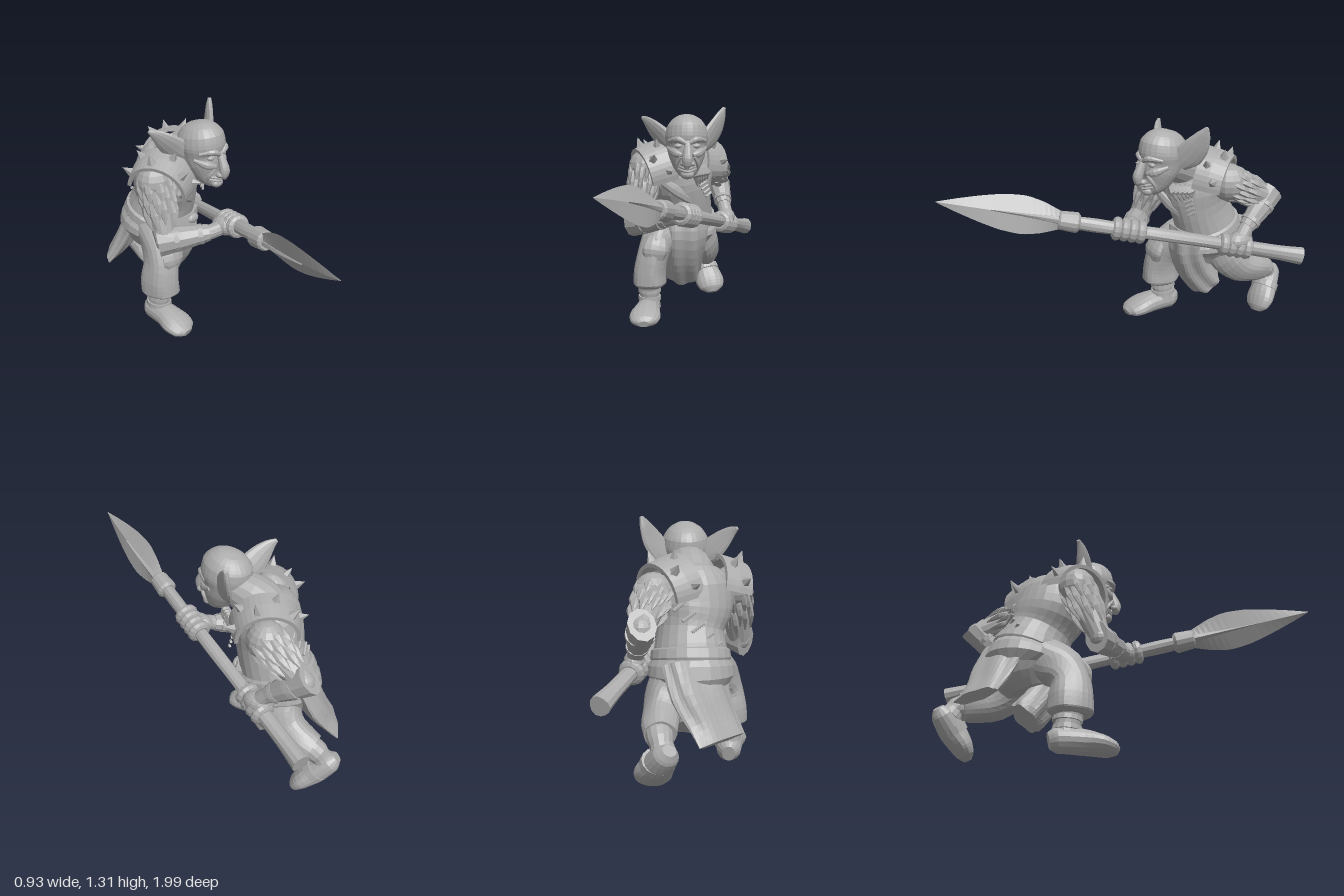
import * as THREE from 'three';

const stone = new THREE.MeshStandardMaterial({ color: 0xacacac, flatShading: true, side: THREE.DoubleSide });
stone.name = 'stoneGrey';
const V = (a) => new THREE.Vector3(...a);

function mesh(name, geo, parent) {
  const m = new THREE.Mesh(geo, stone);
  m.name = name;
  parent.add(m);
  return m;
}

// Skin over elliptical rings [x, y, z, halfWidth, halfDepth]; side is the width direction, sub the smoothing steps
function loft(parent, name, rings, { side = [1, 0, 0], n = 14, ripple = 0, waves = 5, sub = 3 } = {}) {
  const path = new THREE.CatmullRomCurve3(rings.map((r) => V(r.slice(0, 3))));
  const size = new THREE.CatmullRomCurve3(rings.map((r) => V([r[3], r[4] ?? r[3], 0])));
  const steps = (rings.length - 1) * sub, pos = [], idx = [];
  const c = path.getPoints(steps), s = size.getPoints(steps);
  c.forEach((p0, i) => {
    const t = c[Math.min(i + 1, steps)].clone().sub(c[Math.max(i - 1, 0)]).normalize();
    const u = V(side).addScaledVector(t, -V(side).dot(t)).normalize();
    const v = t.clone().cross(u);
    for (let j = 0; j < n; j++) {
      const a = (j / n) * Math.PI * 2, k = 1 + ripple * Math.sin(waves * a + (i / sub) * 0.9);
      const p = p0.clone().addScaledVector(u, Math.cos(a) * Math.max(s[i].x, 0.002) * k)
        .addScaledVector(v, Math.sin(a) * Math.max(s[i].y, 0.002) * k);
      pos.push(p.x, p.y, p.z);
    }
  });
  const last = steps * n, e0 = last + n;
  pos.push(...c[0].toArray(), ...c[steps].toArray());
  for (let j = 0; j < n; j++) {
    const k = (j + 1) % n;
    for (let i = 0; i < last; i += n) idx.push(i + j, i + k, i + n + k, i + j, i + n + k, i + n + j);
    idx.push(e0, k, j, e0 + 1, last + j, last + k);
  }
  const g = new THREE.BufferGeometry();
  g.setAttribute('position', new THREE.Float32BufferAttribute(pos, 3));
  g.setIndex(idx);
  g.computeVertexNormals();
  return mesh(name, g, parent);
}
const rod = (parent, name, p, q, r) => loft(parent, name, [[...p, r], [...q, r]], { n: 6, side: [0.6, 0.35, 0.7], sub: 1 });
function ball(parent, name, p, s) {
  const m = mesh(name, new THREE.SphereGeometry(1, 14, 10), parent);
  m.position.set(...p);
  m.scale.set(...s);
}

// Curved, studded saddle over one shoulder
function shoulderPad(parent, name, centre, outward, up) {
  const g = new THREE.Group(), Y = V(outward).normalize();
  const Z = V(up).addScaledVector(Y, -V(up).dot(Y)).normalize();
  g.name = name;
  g.quaternion.setFromRotationMatrix(new THREE.Matrix4().makeBasis(Y.clone().cross(Z), Y, Z));
  g.position.set(...centre);
  const profile = [[0.165, -0.08], [0.185, -0.08], [0.182, 0], [0.17, 0.08], [0.15, 0.08], [0.162, 0], [0.165, -0.08]];
  mesh('padPlate', new THREE.LatheGeometry(profile.map((p) => new THREE.Vector2(...p)), 20, -1.65, 3.3), g);
  [[-1.3, -0.03], [-0.75, 0.035], [-0.25, -0.03], [0.3, 0.04], [0.8, -0.03], [1.3, 0.03]].forEach(([a, y]) => {
    const s = mesh('padSpike', new THREE.ConeGeometry(0.028, 0.06, 5), g);
    const d = new THREE.Vector3(Math.sin(a), 0, Math.cos(a));
    s.position.copy(d).multiplyScalar(0.202).setY(y);
    s.quaternion.setFromUnitVectors(new THREE.Vector3(0, 1, 0), d);
  });
  parent.add(g);
}

// Shaggy locks in overlapping rows around an upper arm
function fur(parent, from, to, radius) {
  const a = V(from), d = V(to).sub(a), t = d.clone().normalize();
  const u = new THREE.Vector3(1, 0, 0).addScaledVector(t, -t.x).normalize(), w = t.clone().cross(u);
  for (let row = 0; row < 3; row++) for (let j = 0; j < 9; j++) {
    const ang = ((j + row * 0.5) / 9) * Math.PI * 2;
    const o = u.clone().multiplyScalar(Math.cos(ang)).addScaledVector(w, Math.sin(ang));
    const at = (s, r) => a.clone().addScaledVector(d, s).addScaledVector(o, r * (1.2 - 0.35 * s)).toArray();
    const s = row * 0.18 + 0.05 * Math.sin(j * 2.3) - 0.05;
    loft(parent, 'furLock', [[...at(s, radius * 0.9), 0.018], [...at(s + 0.2, radius * 1.02), 0.026, 0.016],
      [...at(s + 0.46, radius * 0.95), 0.004]], { n: 6, side: [0.4, 0.2, 0.9], sub: 2 });
  }
}

export function createModel() {
  const root = new THREE.Group();
  root.name = 'spearWarrior';
  const group = (name) => { const g = new THREE.Group(); g.name = name; root.add(g); return g; };
  const twist = [0.92, 0, -0.38];

  // Torso, neck, belt
  const body = group('body');
  loft(body, 'torso', [[-0.02, 0.4, -0.5, 0.12, 0.12], [-0.02, 0.5, -0.53, 0.19, 0.2], [-0.02, 0.62, -0.51, 0.19, 0.2],
    [-0.02, 0.75, -0.46, 0.17, 0.185], [-0.04, 0.87, -0.43, 0.205, 0.185], [-0.04, 0.97, -0.42, 0.2, 0.165],
    [-0.03, 1.05, -0.4, 0.13, 0.12], [-0.03, 1.085, -0.39, 0.06, 0.06]], { side: twist, n: 24 });
  loft(body, 'neck', [[-0.03, 0.95, -0.45, 0.13], [-0.03, 1.02, -0.36, 0.125], [-0.01, 1.07, -0.23, 0.1]], { n: 16 });
  loft(body, 'belt', [[-0.02, 0.6, -0.515, 0.195, 0.205], [-0.02, 0.61, -0.513, 0.205, 0.217],
    [-0.02, 0.65, -0.5, 0.2, 0.21], [-0.02, 0.66, -0.497, 0.185, 0.195]], { side: twist, n: 24, sub: 1 });
  ball(body, 'beltBuckle', [0.03, 0.61, -0.29], [0.045, 0.03, 0.025]);
  loft(body, 'chestFold', [[-0.15, 0.87, -0.225, 0.025, 0.012], [-0.05, 0.8, -0.252, 0.035, 0.015], [0.08, 0.72, -0.325, 0.03, 0.012]],
    { side: [0, 1, 0], n: 8 });
  for (let i = 0; i < 5; i++) {
    rod(body, 'chestStitch', [0.06 + i * 0.013, 0.86 - i * 0.022, -0.275], [0.105 + i * 0.01, 0.885 - i * 0.022, -0.3], 0.008);
    const x = -0.14 + i * 0.045, y = 0.7 + i * 0.05, z = -0.615 - 0.02 * Math.sin(i);
    rod(body, 'backStitch', [x - 0.03, y + 0.02, z], [x + 0.03, y - 0.02, z - 0.02], 0.009);
    loft(body, 'chinFur', [[0.035 + i * 0.016, 0.95, -0.2 - i * 0.02, 0.02], [0.05 + i * 0.016, 0.9, -0.22 - i * 0.018, 0.02],
      [0.06 + i * 0.016, 0.84 + 0.01 * i, -0.245 - i * 0.013, 0.004]], { n: 6 });
  }
  loft(body, 'frontApron', [[-0.01, 0.64, -0.36, 0.14, 0.07], [-0.01, 0.52, -0.36, 0.125, 0.09], [-0.02, 0.38, -0.42, 0.115, 0.1],
    [-0.02, 0.27, -0.5, 0.11, 0.1], [-0.02, 0.245, -0.52, 0.105, 0.095]], { n: 42, ripple: 0.08, waves: 6 });
  loft(body, 'backFlap', [[-0.03, 0.63, -0.645, 0.175, 0.06], [-0.06, 0.49, -0.705, 0.165, 0.065], [-0.115, 0.37, -0.755, 0.145, 0.05],
    [-0.16, 0.28, -0.81, 0.14, 0.03]], { side: [0.8, 0, -0.55], n: 36, ripple: 0.07, waves: 6 });

  // Head
  const head = group('head');
  loft(head, 'skull', [[-0.01, 0.912, -0.085, 0.03, 0.03], [-0.01, 0.935, -0.1, 0.055, 0.055], [-0.01, 0.98, -0.13, 0.085, 0.088],
    [-0.01, 1.03, -0.15, 0.106, 0.11], [-0.01, 1.085, -0.17, 0.117, 0.127], [-0.01, 1.14, -0.175, 0.126, 0.142],
    [-0.01, 1.195, -0.182, 0.116, 0.137], [-0.01, 1.235, -0.188, 0.088, 0.105], [-0.01, 1.258, -0.192, 0.052, 0.065],
    [-0.01, 1.267, -0.194, 0.012, 0.015]], { n: 24 });
  loft(head, 'nose', [[-0.01, 1.12, -0.05, 0.018, 0.015], [-0.01, 1.07, -0.03, 0.024, 0.025], [-0.012, 1.02, -0.012, 0.03, 0.03],
    [-0.014, 0.985, -0.012, 0.026, 0.022], [-0.014, 0.965, -0.012, 0.01, 0.01]], { n: 12 });
  ball(head, 'chin', [-0.01, 0.928, -0.07], [0.04, 0.028, 0.033]);
  for (const y of [0.945, 0.962]) {
    loft(head, 'lip', [[-0.065, y + 0.015, -0.085, 0.005], [-0.01, y, -0.045, 0.011], [0.045, y + 0.015, -0.085, 0.005]], { side: [0, 1, 0], n: 8 });
  }
  for (const s of [-1, 1]) {
    const x = (d) => -0.01 + s * d;
    loft(head, 'brow', [[x(0.01), 1.108, -0.038, 0.012], [x(0.05), 1.13, -0.048, 0.018], [x(0.105), 1.12, -0.105, 0.01]], { side: [0, 1, 0], n: 10 });
    ball(head, 'eye', [x(0.05), 1.092, -0.068], [0.026, 0.015, 0.018]);
    loft(head, 'cheekbone', [[x(0.03), 1.04, -0.05, 0.012], [x(0.07), 1.05, -0.075, 0.025, 0.018], [x(0.108), 1.08, -0.14, 0.012]],
      { side: [0, 1, 0], n: 10 });
    ball(head, 'nostril', [x(0.026), 0.992, -0.03], [0.017, 0.016, 0.022]);
    loft(head, 'cheekFold', [[x(0.04), 1.03, -0.045, 0.008], [x(0.06), 0.99, -0.07, 0.011], [x(0.06), 0.945, -0.095, 0.006]], { n: 8 });
  }
  loft(head, 'leftEar', [[0.09, 1.09, -0.22, 0.055, 0.03], [0.135, 1.14, -0.25, 0.08, 0.026], [0.175, 1.2, -0.275, 0.07, 0.022],
    [0.205, 1.265, -0.295, 0.04, 0.018], [0.222, 1.308, -0.305, 0.01]], { side: [1, -0.6, -1.4], n: 12 });
  loft(head, 'rightEar', [[-0.1, 1.09, -0.22, 0.055, 0.03], [-0.15, 1.135, -0.25, 0.075, 0.026], [-0.2, 1.185, -0.275, 0.06, 0.022],
    [-0.24, 1.225, -0.3, 0.035, 0.016], [-0.27, 1.25, -0.325, 0.01]], { side: [-1, -0.9, -1.4], n: 12 });

  // Shoulder armour
  shoulderPad(root, 'leftShoulderPad', [0.085, 0.945, -0.475], [0.75, -0.16, -0.55], [0.1, 1, -0.05]);
  shoulderPad(root, 'rightShoulderPad', [-0.2, 0.92, -0.315], [-0.86, -0.25, 0.32], [0.05, 1, 0.2]);

  // Spear, from butt to tip
  const spear = group('spear');
  const tip = V([-0.465, 0.93, 1.0]), butt = V([0.42, 0.49, -0.89]);
  const on = (t) => tip.clone().lerp(butt, t).toArray();
  loft(spear, 'shaft', [[0.33, 0.035], [0.42, 0.04], [0.5, 0.035], [0.6, 0.038], [0.72, 0.036], [0.83, 0.042], [0.93, 0.044], [1, 0.053]]
    .map(([t, r]) => [...on(t), r]), { side: [0, 1, 0], n: 12, ripple: 0.06, waves: 3 });
  loft(spear, 'collarRing', [[0.315, 0.045], [0.32, 0.054], [0.365, 0.06], [0.372, 0.045]].map(([t, r]) => [...on(t), r]),
    { side: [0, 1, 0], n: 14, sub: 1 });
  const bladeSide = [-0.4, 1, 0];
  loft(spear, 'blade', [[0, 0.002, 0.002], [0.05, 0.036, 0.012], [0.11, 0.072, 0.018], [0.17, 0.1, 0.022], [0.22, 0.108, 0.024],
    [0.27, 0.09, 0.026], [0.31, 0.06, 0.03], [0.34, 0.035, 0.03]].map(([t, a, b]) => [...on(t), a, b]), { side: bladeSide, n: 4 });
  loft(spear, 'bladeSpine', [[0.14, 0.004, 0.026], [0.22, 0.012, 0.034], [0.33, 0.03, 0.036]].map(([t, a, b]) => [...on(t), a, b]),
    { side: bladeSide, n: 8 });

  // Fists: four finger rings gripping the shaft, with palm and thumb
  const axis = tip.clone().sub(butt).normalize();
  function fist(name, t, palm, thumb) {
    const g = group(name);
    for (let i = 0; i < 4; i++) {
      const f = mesh('finger', new THREE.TorusGeometry(0.043, 0.027, 9, 14), g);
      f.position.set(...on(t + (i - 1.5) * 0.022));
      f.quaternion.setFromUnitVectors(new THREE.Vector3(0, 0, 1), axis);
    }
    ball(g, 'palm', palm, [0.055, 0.055, 0.08]);
    loft(g, 'thumb', [[...palm, 0.03], [...thumb, 0.024], [...V(thumb).addScaledVector(axis, 0.04).toArray(), 0.01]], { side: [0, 1, 0.2], n: 8 });
  }
  fist('rightHand', 0.505, [-0.055, 0.7, 0.02], [-0.04, 0.74, 0.06]);
  fist('leftHand', 0.805, [0.262, 0.61, -0.54], [0.21, 0.622, -0.47]);

  // Arms, each with a flared bracer and straps
  function arm(name, shoulder, elbow, wrist, hand, beyond) {
    const g = group(name), S = V(shoulder), E = V(elbow), W = V(wrist);
    const mid = S.clone().lerp(E, 0.5).toArray(), fore = E.clone().lerp(W, 0.4).toArray();
    ball(g, 'shoulder', shoulder, [0.105, 0.11, 0.105]);
    loft(g, 'upperArm', [[...shoulder, 0.09], [...mid, 0.077], [...elbow, 0.06]], { side: [1, 0, 0.3] });
    ball(g, 'elbow', elbow, [0.062, 0.062, 0.062]);
    loft(g, 'forearm', [[...elbow, 0.058], [...fore, 0.064], [...wrist, 0.043], [...hand, 0.045]], { side: [0.2, 1, 0.2] });
    loft(g, 'bracer', [[...wrist, 0.048], [...fore, 0.072, 0.066], [...E.clone().lerp(W, -beyond).toArray(), 0.088, 0.068]],
      { side: [0.2, 1, 0.2], n: 10, sub: 1 });
    for (const k of [0.25, 0.8]) {
      const r = 0.08 - k * 0.026;
      loft(g, 'strap', [k - 0.05, k + 0.05].map((q) => [...E.clone().lerp(W, q).toArray(), r]), { side: [0.2, 1, 0.2], sub: 1 });
    }
    fur(g, shoulder, elbow, 0.077);
  }
  arm('rightArm', [-0.25, 0.95, -0.32], [-0.305, 0.635, -0.2], [-0.13, 0.672, -0.03], [-0.06, 0.7, 0.02], 0.18);
  arm('leftArm', [0.165, 0.945, -0.52], [0.225, 0.825, -0.77], [0.25, 0.68, -0.6], [0.262, 0.61, -0.54], 0.2);

  // Legs: baggy breeches, ankle wraps and soft boots
  const rl = group('rightLeg'), ll = group('leftLeg');
  const cloth = { n: 24, ripple: 0.03, waves: 5 };
  loft(rl, 'breeches', [[-0.235, 0.205, -0.33, 0.08, 0.09], [-0.235, 0.23, -0.33, 0.103, 0.122], [-0.235, 0.3, -0.33, 0.1, 0.12],
    [-0.215, 0.4, -0.33, 0.095, 0.11], [-0.175, 0.49, -0.37, 0.105, 0.125], [-0.11, 0.56, -0.47, 0.12, 0.13]], cloth);
  loft(rl, 'kneePatch', [[-0.205, 0.39, -0.255, 0.06, 0.03], [-0.2, 0.45, -0.25, 0.08, 0.035], [-0.185, 0.52, -0.28, 0.06, 0.03]], { n: 10 });
  loft(rl, 'ankle', [[-0.235, 0.07, -0.35, 0.07, 0.08], [-0.235, 0.15, -0.345, 0.06, 0.068], [-0.235, 0.24, -0.335, 0.072, 0.08]]);
  loft(rl, 'boot', [[-0.23, 0.06, -0.44, 0.035, 0.045], [-0.235, 0.068, -0.4, 0.065, 0.066], [-0.25, 0.068, -0.27, 0.078, 0.066],
    [-0.263, 0.055, -0.18, 0.095, 0.053], [-0.27, 0.039, -0.12, 0.08, 0.038], [-0.27, 0.03, -0.09, 0.035, 0.02]], { n: 16 });
  loft(ll, 'breeches', [[0.04, 0.55, -0.56, 0.13, 0.14], [0.1, 0.45, -0.6, 0.11, 0.125], [0.125, 0.38, -0.67, 0.095, 0.11],
    [0.14, 0.345, -0.77, 0.09, 0.092], [0.14, 0.325, -0.835, 0.08, 0.078]], cloth);
  loft(ll, 'ankle', [[0.15, 0.35, -0.78, 0.07], [0.14, 0.31, -0.86, 0.065], [0.125, 0.25, -0.9, 0.065]]);
  loft(ll, 'boot', [[0.1, 0.295, -0.96, 0.035, 0.03], [0.115, 0.265, -0.935, 0.065, 0.06], [0.15, 0.19, -0.87, 0.08, 0.07],
    [0.175, 0.125, -0.815, 0.096, 0.058], [0.187, 0.08, -0.785, 0.08, 0.042], [0.192, 0.052, -0.77, 0.035, 0.02]], { n: 16 });

  // Boot straps
  for (const y of [0.12, 0.17]) {
    loft(rl, 'bootStrap', [[-0.235, y, -0.347, 0.072, 0.08], [-0.235, y + 0.025, -0.346, 0.07, 0.078]], { sub: 1 });
  }
  loft(ll, 'bootStrap', [[0.148, 0.21, -0.878, 0.085, 0.076], [0.158, 0.18, -0.855, 0.088, 0.075]], { sub: 1 });
  return root;
}
